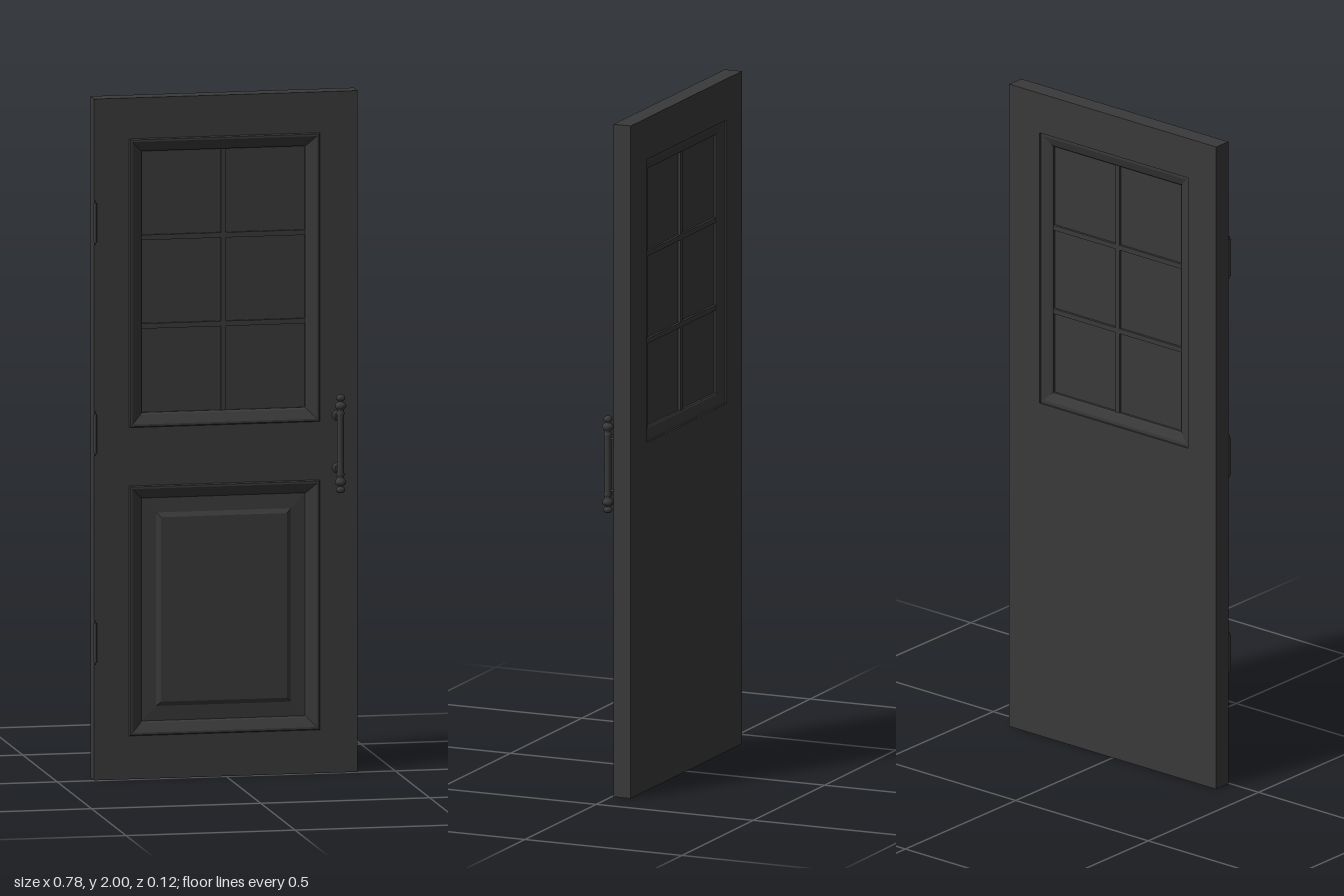
import * as THREE from 'three';

const DARK = 0x3a3a3a;
const flat = new THREE.MeshStandardMaterial({ color: DARK, flatShading: true });
const smooth = new THREE.MeshStandardMaterial({ color: DARK });

// Openings in the door: centre x, width, and vertical centre and height
const CX = -0.004, W = 0.558;
const WINDOW = { y: 1.456, h: 0.842 };
const PANEL = { y: 0.494, h: 0.728 };

function add(parent, name, geometry, material, x = 0, y = 0, z = 0) {
  const mesh = new THREE.Mesh(geometry, material);
  mesh.name = name;
  mesh.position.set(x, y, z);
  parent.add(mesh);
  return mesh;
}

// Slab between two depths, cut through by rectangular openings
function slab(z0, z1, openings) {
  const rect = (C, cx, cy, w, h) => new C([[-1, -1], [1, -1], [1, 1], [-1, 1]].map(
    ([sx, sy]) => new THREE.Vector2(cx + sx * w / 2, cy + sy * h / 2)));
  const shape = rect(THREE.Shape, 0, 1, 0.78, 2);
  for (const o of openings) shape.holes.push(rect(THREE.Path, CX, o.y, W, o.h));
  const geo = new THREE.ExtrudeGeometry(shape, { depth: z1 - z0, bevelEnabled: false });
  return geo.translate(0, 0, z0);
}

// Mitred frame: a closed profile of [inset, z] swept around a rectangle
function mitredFrame(w, h, profile) {
  const corners = [[-1, -1], [1, -1], [1, 1], [-1, 1]];
  const n = profile.length, pos = [], index = [];
  for (const [sx, sy] of corners)
    for (const [inset, z] of profile) pos.push(sx * (w / 2 - inset), sy * (h / 2 - inset), z);
  for (let j = 0; j < 4; j++)
    for (let i = 0; i < n; i++) {
      const a = j * n + i, b = ((j + 1) % 4) * n + i;
      const c = ((j + 1) % 4) * n + (i + 1) % n, d = j * n + (i + 1) % n;
      index.push(a, b, c, a, c, d);
    }
  const geo = new THREE.BufferGeometry();
  geo.setAttribute('position', new THREE.Float32BufferAttribute(pos, 3));
  geo.setIndex(index);
  geo.computeVertexNormals();
  return geo;
}

function createWindow() {
  const g = new THREE.Group();
  g.name = 'window';
  g.position.set(CX, WINDOW.y, 0);
  add(g, 'windowMoulding', mitredFrame(W, WINDOW.h, [
    [-0.003, -0.005], [0, -0.001], [0.006, -0.001], [0.033, -0.016], [0.037, -0.022],
    [0.037, -0.043], [0.033, -0.046], [0.01, -0.054], [0, -0.054],
  ]), flat);
  add(g, 'glass', new THREE.BoxGeometry(W - 0.06, WINDOW.h - 0.06, 0.006), flat, 0, 0, -0.0325);
  // Glazing bars on a two by three grid
  add(g, 'verticalBar', new THREE.BoxGeometry(0.015, WINDOW.h - 0.07, 0.022), flat, 0, 0, -0.0325);
  for (const s of [-1, 1])
    add(g, 'horizontalBar', new THREE.BoxGeometry(W - 0.07, 0.015, 0.021), flat, 0, s * 0.13, -0.0325);
  return g;
}

function createPanel() {
  const g = new THREE.Group();
  g.name = 'lowerPanel';
  g.position.set(CX, PANEL.y, 0);
  add(g, 'panelMoulding', mitredFrame(W, PANEL.h, [
    [-0.003, -0.005], [0, -0.001], [0.006, -0.001], [0.033, -0.016], [0.037, -0.024],
    [0.037, -0.032], [0, -0.032],
  ]), flat);
  // Raised field with a sloping border
  add(g, 'panelBorder', mitredFrame(W, PANEL.h, [
    [0.03, -0.024], [0.08, -0.021], [0.093, -0.013], [0.1, -0.013], [0.1, -0.032], [0.03, -0.032],
  ]), flat);
  add(g, 'panelField', new THREE.BoxGeometry(W - 0.2, PANEL.h - 0.2, 0.019), flat, 0, 0, -0.0225);
  return g;
}

function createHandle() {
  const g = new THREE.Group();
  g.name = 'handle';
  g.position.set(0.33, 0.972, 0);
  // Half profile [radius, height] of the grip, mirrored about its middle
  const half = [
    [0.010, 0], [0.010, 0.085], [0.014, 0.089], [0.010, 0.094], [0.009, 0.1],
    [0.013, 0.104], [0.017, 0.111], [0.015, 0.118], [0.008, 0.123], [0.007, 0.126],
    [0.012, 0.130], [0.0135, 0.135], [0.011, 0.141], [0.006, 0.144], [0, 0.145],
  ];
  const pts = [...half.slice(1).reverse().map(([r, y]) => [r, -y]), ...half.slice(1)];
  add(g, 'grip', new THREE.LatheGeometry(pts.map(([r, y]) => new THREE.Vector2(r, y)), 16),
    smooth, 0, 0, 0.04);
  for (const s of [-1, 1]) {
    add(g, 'post', new THREE.CylinderGeometry(0.004, 0.004, 0.045, 12).rotateX(Math.PI / 2),
      smooth, 0, s * 0.077, 0.0175);
    add(g, 'rose', new THREE.CylinderGeometry(0.009, 0.016, 0.006, 16).rotateX(Math.PI / 2),
      smooth, 0, s * 0.077, -0.002);
  }
  return g;
}

export function createModel() {
  const door = new THREE.Group();
  door.name = 'door';

  // Door leaf: the window goes right through, the panel recess only part way
  add(door, 'leafBack', slab(-0.06, -0.03, [WINDOW]), flat);
  add(door, 'leafFront', slab(-0.03, -0.005, [WINDOW, PANEL]), flat);
  door.add(createWindow(), createPanel(), createHandle());

  // Hinge knuckles down the right edge
  for (const y of [0.405, 1.018, 1.638]) {
    const hinge = new THREE.Group();
    hinge.name = 'hinge';
    hinge.position.set(-0.388, y, 0.001);
    add(hinge, 'knuckle', new THREE.CylinderGeometry(0.005, 0.005, 0.115, 12), smooth);
    for (const s of [-1, 1])
      add(hinge, 'tip', new THREE.CylinderGeometry(0.003, 0.003, 0.008, 12), smooth, 0, s * 0.061, 0);
    add(hinge, 'leafPlate', new THREE.BoxGeometry(0.003, 0.115, 0.012), flat, -0.001, 0, -0.006);
    door.add(hinge);
  }
  return door;
}
